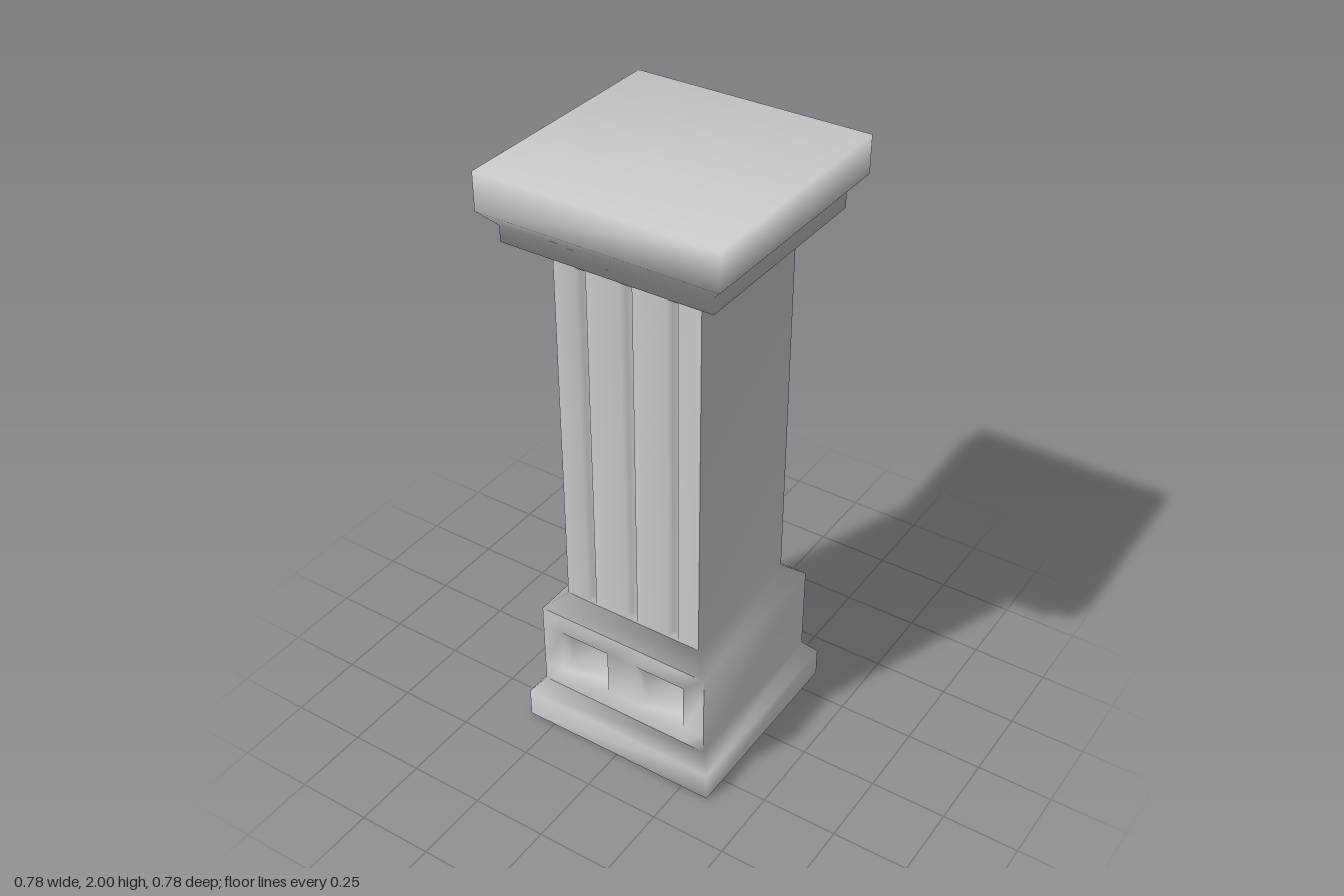
import * as THREE from 'three';
import { mergeVertices } from 'three/addons/utils/BufferGeometryUtils.js';

// [half width, height] outline of each part of the square column
const PARTS = {
  base: [[0.345, 0], [0.345, 0.1], [0.305, 0.15], [0.305, 0.45], [0.245, 0.5]],
  shaft: [[0.245, 0.5], [0.245, 1.71]],
  capital: [[0.245, 1.71], [0.345, 1.78], [0.345, 1.83], [0.39, 1.88], [0.39, 2]],
};

// Recesses on the front and back, keyed by the part and the outline segment they lie in
const RECESSES = {
  base2: { xs: [[-0.23, -0.055], [0.055, 0.23]], y0: 0.22, y1: 0.38, depth: 0.05 },
  shaft0: { xs: [[-0.17, -0.135], [-0.02, 0.02], [0.135, 0.17]], y0: 0.505, y1: 1.705, depth: 0.03 },
};

export function createModel() {
  const positions = [];
  const quad = (a, b, c, d) => [a, b, c, a, c, d].forEach((p) => positions.push(...p));

  // Flat wall with rectangular pockets pushed inwards
  function recessedWall(at, half, yLow, yHigh, { xs, y0, y1, depth }) {
    const rect = (xa, xb, ya, yb, w) => [at(xa, ya, w), at(xb, ya, w), at(xb, yb, w), at(xa, yb, w)];
    const breaks = [-half, ...xs.flat(), half];
    for (let i = 0; i < breaks.length - 1; i++) {
      const [xa, xb] = [breaks[i], breaks[i + 1]];
      quad(...rect(xa, xb, yLow, y0, half));
      quad(...rect(xa, xb, y1, yHigh, half));
      const rim = rect(xa, xb, y0, y1, half);
      if (i % 2 === 0) {
        quad(...rim);
      } else {
        const floor = rect(xa, xb, y0, y1, half - depth);
        quad(...floor);
        rim.forEach((p, k) => quad(p, rim[(k + 1) % 4], floor[(k + 1) % 4], floor[k]));
      }
    }
  }

  // Four sides of every part, followed by the flat top
  const ranges = {};
  for (const [name, outline] of Object.entries(PARTS)) {
    const start = positions.length / 3;
    for (let side = 0; side < 4; side++) {
      const c = [1, 0, -1, 0][side];
      const s = [0, 1, 0, -1][side];
      const at = (u, y, w) => [u * c + w * s, y, w * c - u * s];
      for (let i = 0; i < outline.length - 1; i++) {
        const [h0, y0] = outline[i];
        const [h1, y1] = outline[i + 1];
        const recess = RECESSES[name + i];
        if (recess && side % 2 === 0) recessedWall(at, h0, y0, y1, recess);
        else quad(at(-h0, y0, h0), at(h0, y0, h0), at(h1, y1, h1), at(-h1, y1, h1));
      }
    }
    if (name === 'capital') {
      const [h, y] = outline[outline.length - 1];
      quad([-h, y, h], [h, y, h], [h, y, -h], [-h, y, -h]);
    }
    ranges[name] = [start, positions.length / 3];
  }

  // Smooth normals run over the whole column, across the joins between parts
  const raw = new THREE.BufferGeometry();
  raw.setAttribute('position', new THREE.Float32BufferAttribute(positions, 3));
  const whole = mergeVertices(raw, 1e-4);
  whole.computeVertexNormals();

  // Open underneath, so the inside shows as well
  const material = new THREE.MeshStandardMaterial({ color: 0xcccccc, side: THREE.DoubleSide });
  const group = new THREE.Group();
  group.name = 'column';
  for (const [name, [start, end]] of Object.entries(ranges)) {
    const part = whole.clone();
    part.setIndex(Array.from(whole.index.array.slice(start, end)));
    const mesh = new THREE.Mesh(part.toNonIndexed(), material);
    mesh.name = name;
    group.add(mesh);
  }
  return group;
}
